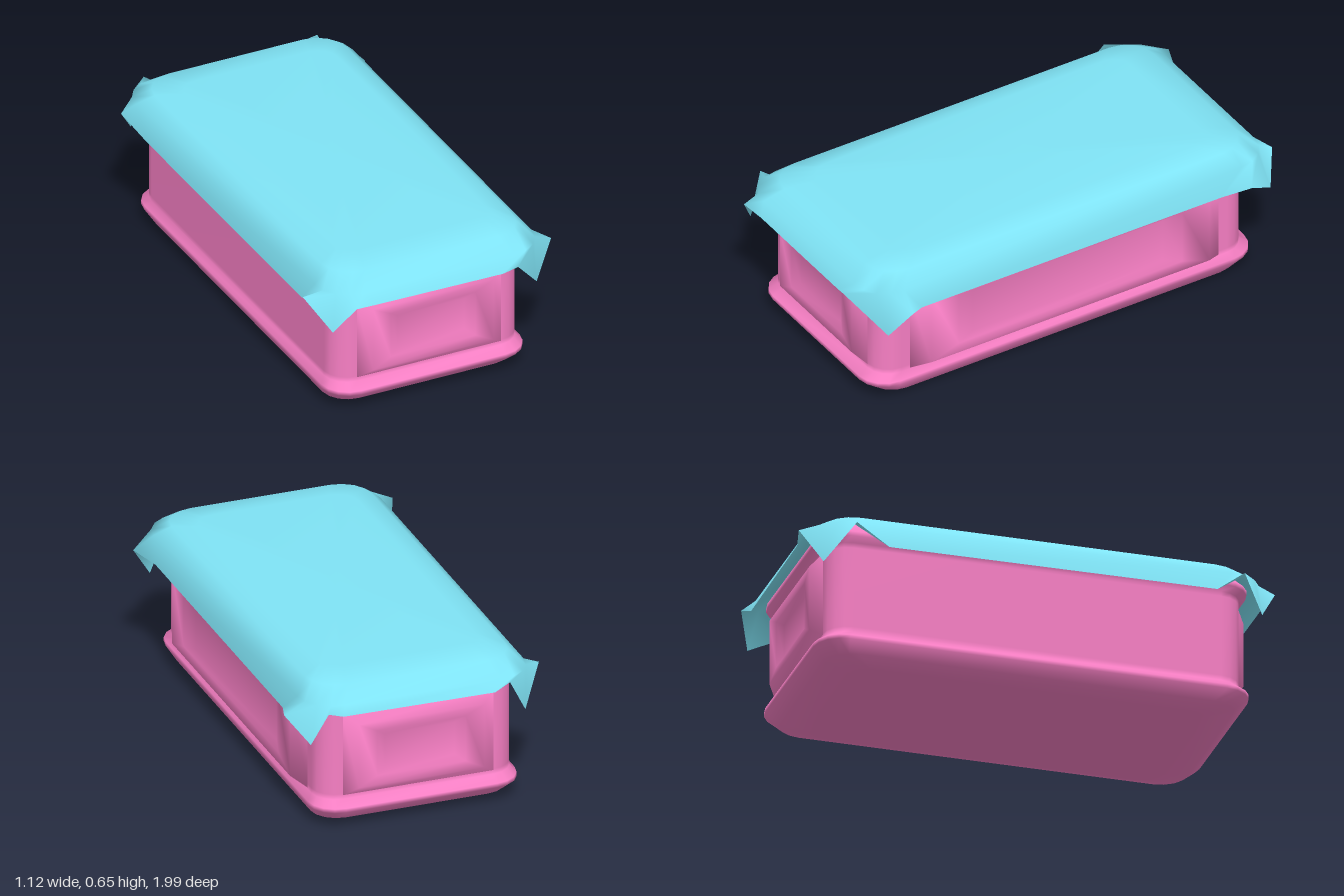
import * as THREE from 'three';

// Joins closed loops of points into a smooth skin, with optional end caps
function loft(rings, capStart, capEnd) {
  const n = rings[0].length;
  const pos = rings.flat(2);
  const index = [];
  for (let i = 0; i < rings.length - 1; i++) {
    for (let j = 0; j < n; j++) {
      const k = (j + 1) % n;
      const a = i * n + j, b = i * n + k, c = a + n, d = b + n;
      index.push(a, c, b, b, c, d);
    }
  }
  const cap = (i, flip) => {
    const ring = rings[i];
    const centre = pos.length / 3;
    for (let k = 0; k < 3; k++) pos.push(ring.reduce((s, p) => s + p[k], 0) / n);
    for (let j = 0; j < n; j++) {
      const a = i * n + j, b = i * n + (j + 1) % n;
      index.push(centre, flip ? a : b, flip ? b : a);
    }
  };
  if (capStart) cap(0, true);
  if (capEnd) cap(rings.length - 1, false);
  const geo = new THREE.BufferGeometry();
  geo.setAttribute('position', new THREE.Float32BufferAttribute(pos, 3));
  geo.setIndex(index);
  geo.computeVertexNormals();
  return geo;
}

// Rounded rectangle at height y, five points per corner
function roundedRing(hx, hz, r, y, cx, cz) {
  const ring = [];
  for (let q = 0; q < 4; q++) {
    const sx = q === 0 || q === 3 ? 1 : -1;
    const sz = q < 2 ? 1 : -1;
    for (let s = 0; s < 5; s++) {
      const t = (q + s / 4) * Math.PI / 2;
      ring.push([cx + sx * (hx - r) + r * Math.cos(t), y, cz + sz * (hz - r) + r * Math.sin(t)]);
    }
  }
  return ring;
}

// Raised frame around a sunken field, facing +z
function panelGeometry(steps) {
  const rings = steps.map(([w, h, d]) => [[w, h, d], [w, -h, d], [-w, -h, d], [-w, h, d]]);
  return loft(rings, false, true);
}

export function createModel() {
  const group = new THREE.Group();
  const pink = new THREE.MeshStandardMaterial({ color: 0xf77fc4 });
  const blue = new THREE.MeshStandardMaterial({ color: 0x7fe3f5, side: THREE.DoubleSide });
  const add = (name, geo, mat) => {
    const mesh = new THREE.Mesh(geo, mat);
    mesh.name = name;
    group.add(mesh);
    return mesh;
  };

  // Box with a rounded plinth and a matching rim: half width, half depth, corner radius, height
  const profile = [
    [0.345, 0.72, 0.08, 0],
    [0.415, 0.855, 0.11, 0.025],
    [0.445, 0.913, 0.12, 0.075],
    [0.445, 0.913, 0.12, 0.093],
    [0.4225, 0.8725, 0.1, 0.118],
    [0.4225, 0.8725, 0.1, 0.14],
    [0.4225, 0.8725, 0.1, 0.49],
    [0.4225, 0.8725, 0.1, 0.512],
    [0.44, 0.905, 0.12, 0.535],
    [0.44, 0.905, 0.12, 0.555],
    [0.41, 0.85, 0.11, 0.605],
    [0.345, 0.72, 0.08, 0.625],
  ];
  add('box', loft(profile.map(([hx, hz, r, y]) => roundedRing(hx, hz, r, y, -0.0175, -0.0125)), true, true), pink);

  // Framed panels on both ends and one long side
  const endSteps = [[0.33, 0.185, -0.005], [0.27, 0.14, 0.04], [0.19, 0.1, 0.036], [0.15, 0.07, 0.015]];
  for (const s of [1, -1]) {
    const panel = add(s > 0 ? 'frontPanel' : 'backPanel', panelGeometry(endSteps), pink);
    panel.position.set(-0.0175, 0.315, -0.0125 + s * 0.8725);
    if (s < 0) panel.rotation.y = Math.PI;
  }
  const sideSteps = [[0.74, 0.195, -0.005], [0.66, 0.165, 0.047], [0.53, 0.12, 0.047], [0.45, 0.1, 0.025]];
  const side = add('sidePanel', panelGeometry(sideSteps), pink);
  side.position.set(0.405, 0.315, -0.0125);
  side.rotation.y = Math.PI / 2;

  // Cloth draped over the top, its hem falling into a pointed flap at each corner
  const hem = [
    [0.495, 0.475, 0.72], [0.56, 0.515, 0.8], [0.465, 0.37, 0.86], [0.32, 0.54, 0.985], [0.26, 0.515, 0.968],
    [-0.31, 0.525, 0.975], [-0.41, 0.54, 0.995], [-0.48, 0.41, 0.92], [-0.565, 0.545, 0.82], [-0.52, 0.48, 0.72],
    [-0.52, 0.475, -0.66], [-0.565, 0.545, -0.81], [-0.465, 0.4, -0.92], [-0.37, 0.57, -0.995], [-0.31, 0.53, -0.983],
    [0.34, 0.53, -0.975], [0.41, 0.56, -0.995], [0.47, 0.415, -0.95], [0.535, 0.5, -0.82], [0.495, 0.475, -0.7],
  ];
  const cloth = [
    hem,
    roundedRing(0.487, 0.95, 0.15, 0.572, -0.012, -0.01),
    roundedRing(0.43, 0.875, 0.13, 0.627, -0.01, -0.01),
    roundedRing(0.34, 0.74, 0.08, 0.65, -0.005, -0.01),
  ];
  add('cloth', loft(cloth, false, true), blue);
  return group;
}
